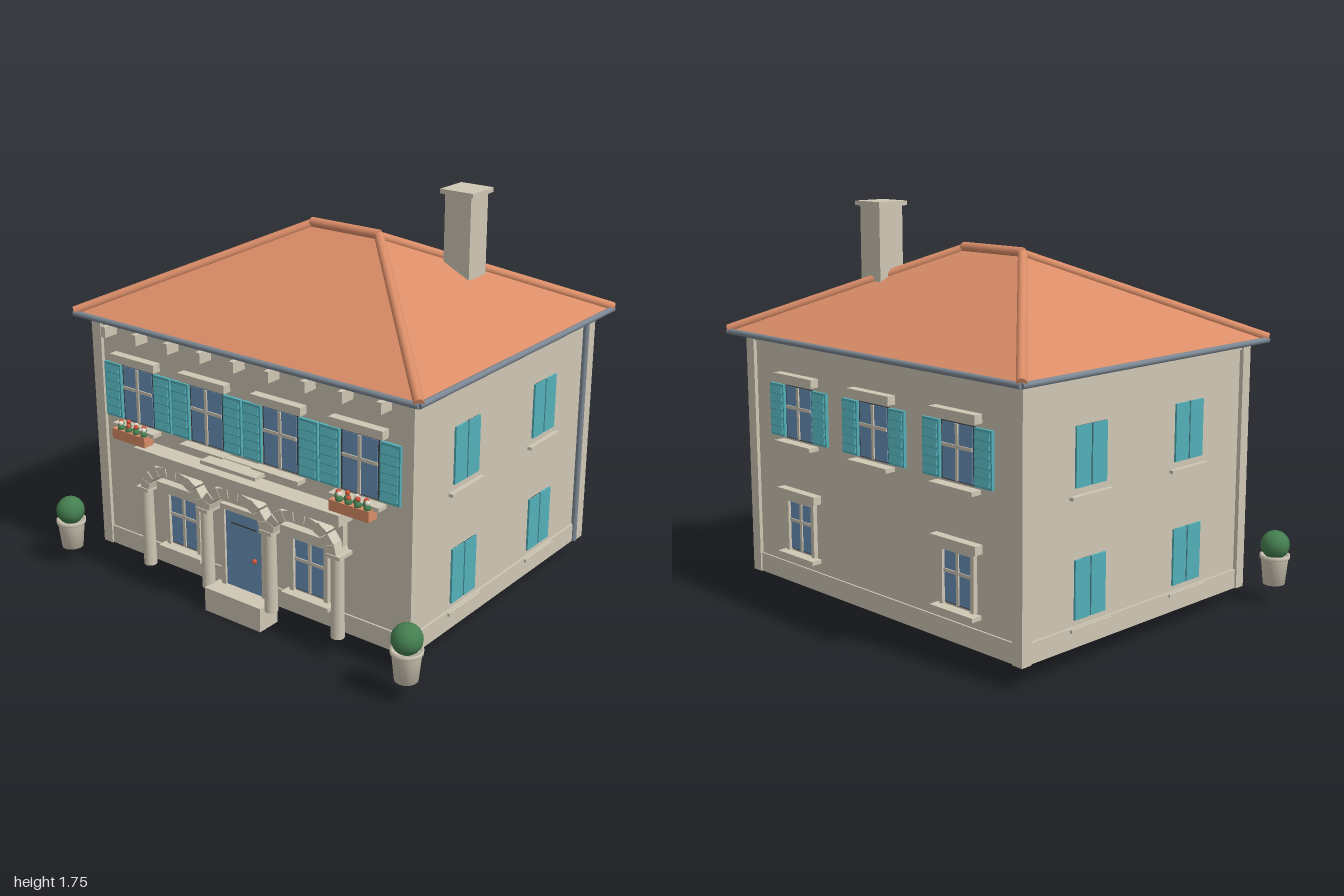
import * as THREE from 'three';

const mat = (name, color) => {
  const m = new THREE.MeshStandardMaterial({ color });
  m.name = name;
  return m;
};

export function createModel() {
  const stone = mat('stone', 0xcfc7b5), tile = mat('terracotta', 0xd98c67), glass = mat('blue', 0x6b93bb);
  const teal = mat('teal', 0x53b0b9), metal = mat('gutter grey', 0x7b8793), dark = mat('dark frame', 0x45484c);
  const leaf = mat('leaf green', 0x457f50), red = mat('red flower', 0xd0583f), white = mat('pale flower', 0xe6ded0);
  const house = new THREE.Group();
  house.name = 'house';

  const add = (name, geo, m, x = 0, y = 0, z = 0, parent = house) => {
    const mesh = new THREE.Mesh(geo, m);
    mesh.name = name;
    mesh.position.set(x, y, z);
    parent.add(mesh);
    return mesh;
  };
  // Box given by its limits
  const box = (name, m, x0, x1, y0, y1, z0, z1, parent) =>
    add(name, new THREE.BoxGeometry(x1 - x0, y1 - y0, z1 - z0), m, (x0 + x1) / 2, (y0 + y1) / 2, (z0 + z1) / 2, parent);
  // Round bar between two points
  const rod = (name, m, a, b, r) => {
    const p = new THREE.Vector3(...a), q = new THREE.Vector3(...b), d = q.clone().sub(p);
    const mesh = add(name, new THREE.CylinderGeometry(r, r, d.length(), 12), m);
    mesh.position.copy(p).add(q).multiplyScalar(0.5);
    mesh.quaternion.setFromUnitVectors(new THREE.Vector3(0, 1, 0), d.normalize());
  };

  // Walls, plinth, frieze and corner pilasters
  const F = 0.61, B = -0.74, W = 0.84;
  box('walls', stone, -W, W, 0.09, 1.19, B, F);
  box('plinth', stone, -0.85, 0.85, 0.09, 0.175, B - 0.008, F + 0.008);
  box('frieze', stone, -0.85, 0.85, 1.147, 1.18, B - 0.008, F + 0.008);
  for (const s of [-1, 1]) for (const z of [0.601, -0.731])
    add('cornerPilaster', new THREE.BoxGeometry(0.053, 1.09, 0.05), stone, s * 0.832, 0.635, z);

  // Hipped roof
  const ex = 0.91, zf = 0.675, zb = -0.815, ey = 1.19, rx = 0.18, ry = 1.55, rz = -0.07;
  const A = [-ex, ey, zf], Bc = [ex, ey, zf], C = [ex, ey, zb], D = [-ex, ey, zb], L = [-rx, ry, rz], R = [rx, ry, rz];
  const roof = new THREE.BufferGeometry();
  roof.setAttribute('position', new THREE.Float32BufferAttribute(
    [A, Bc, R, A, R, L, Bc, C, R, C, D, L, C, L, R, D, A, L, A, D, C, A, C, Bc].flat(), 3));
  roof.computeVertexNormals();
  add('roof', roof, tile);
  for (const s of [-1, 1]) for (const z of [zf, zb])
    rod('hipTile', tile, [s * ex, ey + 0.005, z], [s * rx, ry, rz], 0.021);
  rod('ridgeTile', tile, [-rx, ry + 0.005, rz], [rx, ry + 0.005, rz], 0.024);

  // Gutters and drainpipe
  for (const z of [zf, zb]) rod('gutter', metal, [-ex, 1.186, z], [ex, 1.186, z], 0.013);
  for (const s of [-1, 1]) rod('gutter', metal, [s * ex, 1.186, zb], [s * ex, 1.186, zf], 0.013);
  rod('drainpipe', metal, [0.85, 0.09, -0.692], [0.85, 1.18, -0.692], 0.013);

  // Chimney
  box('chimney', stone, 0.398, 0.527, 1.37, 1.735, -0.365, -0.235);
  box('chimneyCap', stone, 0.382, 0.543, 1.735, 1.755, -0.38, -0.22);

  // Louvred shutter
  const shutter = (x, y, h, parent) => {
    const g = new THREE.Group();
    g.name = 'shutter';
    g.position.set(x, y, 0);
    parent.add(g);
    box('shutterPanel', teal, -0.048, 0.048, -h / 2, h / 2, 0, 0.014, g);
    for (let i = 0; i < 6; i++)
      add('louvre', new THREE.BoxGeometry(0.08, 0.03, 0.008), teal, 0, (i - 2.5) * h / 6.4, 0.016, g).rotation.x = -0.25;
  };

  // Window with frame, glazing bars, lintel, sill and optional shutters
  const windowUnit = (x, y0, y1, back, shutters, w = 0.17) => {
    const g = new THREE.Group();
    g.name = 'window';
    g.position.set(x, 0, back ? B : F);
    if (back) g.rotation.y = Math.PI;
    house.add(g);
    const h = w / 2, bar = y0 + (y1 - y0) * 0.6;
    if (!shutters) {
      for (const s of [-1, 1])
        add('windowSurround', new THREE.BoxGeometry(0.02, y1 - y0 + 0.02, 0.02), stone, s * (h + 0.012), (y0 + y1) / 2, 0.01, g);
      box('windowSurround', stone, -h - 0.022, h + 0.022, y1, y1 + 0.02, 0, 0.02, g);
    }
    box('windowFrame', dark, -h - 0.008, h + 0.008, y0 - 0.005, y1 + 0.004, 0, 0.005, g);
    box('glass', glass, -h, h, y0, y1, 0, 0.008, g);
    box('glazingBar', stone, -0.007, 0.007, y0, y1, 0, 0.014, g);
    box('glazingBar', stone, -h, h, bar - 0.007, bar + 0.007, 0, 0.013, g);
    box('lintel', stone, -0.13, 0.13, y1 + 0.02, y1 + 0.057, 0, 0.04, g);
    box('sill', stone, -0.123, 0.123, y0 - 0.032, y0 - 0.014, 0, 0.05, g);
    if (shutters) for (const s of [-1, 1]) shutter(s * 0.147, (y0 + y1) / 2, y1 - y0 + 0.005, g);
  };
  for (const x of [-0.6, -0.2, 0.2, 0.6]) windowUnit(x, 0.73, 0.975, false, true);
  for (const x of [-0.35, 0.35]) windowUnit(x, 0.21, 0.44, false, false, 0.155);
  for (const x of [-0.5, 0, 0.5]) windowUnit(x, 0.75, 0.975, true, true);
  for (const x of [-0.5, 0.5]) windowUnit(x, 0.25, 0.465, true, false, 0.155);

  // Closed shutters on both side walls
  for (const s of [-1, 1]) for (const z of [0.235, -0.365]) for (const y of [0.2, 0.73]) {
    add('shutterGap', new THREE.BoxGeometry(0.008, 0.243, 0.16), dark, s * W, y + 0.122, z);
    for (const k of [-1, 1])
      add('sideShutter', new THREE.BoxGeometry(0.018, 0.243, 0.084), teal, s * W, y + 0.122, z + k * 0.046);
    add('sideSill', new THREE.BoxGeometry(0.04, 0.014, 0.235), stone, s * W, y - 0.036, z);
  }

  // Eaves brackets
  for (let i = -4; i <= 4; i++)
    box('eavesBracket', stone, i * 0.183 - 0.012, i * 0.183 + 0.012, 1.112, 1.16, F, 0.68);

  // Balcony ledges
  box('balconySlab', stone, -0.56, 0.56, 0.602, 0.652, F, 0.7);
  box('ledge', stone, -0.315, 0.315, 0.697, 0.712, F, 0.65);
  box('centreLedge', stone, -0.15, 0.15, 0.692, 0.708, F, 0.72);

  // Arcade: columns, capitals and wedge-shaped arch stones
  for (const x of [-0.527, -0.176, 0.176, 0.527]) {
    add('column', new THREE.CylinderGeometry(0.026, 0.029, 0.365, 16), stone, x, 0.272, 0.662);
    box('capital', stone, x - 0.034, x + 0.034, 0.452, 0.468, F, 0.695);
  }
  const pt = (a, b, t) => [a * Math.cos(t), b * Math.sin(t)];
  const N = 9;
  for (const x of [-0.352, 0, 0.352]) {
    for (let i = 0; i < N; i++) {
      const t0 = Math.PI * i / N + 0.012, t1 = Math.PI * (i + 1) / N - 0.012;
      const out = i % 2 ? 0.135 : 0.142;
      const s = new THREE.Shape([pt(0.14, 0.09, t0), pt(0.187, out, t0), pt(0.187, out, t1), pt(0.14, 0.09, t1)]
        .map(p => new THREE.Vector2(...p)));
      add('archStone', new THREE.ExtrudeGeometry(s, { depth: 0.08, bevelEnabled: false }), stone, x, 0.466, F);
    }
  }
  // Spandrel panel with arched openings
  const panel = new THREE.Shape();
  panel.moveTo(-0.535, 0.466);
  for (const x of [-0.352, 0, 0.352]) {
    panel.lineTo(x - 0.145, 0.466);
    panel.absellipse(x, 0.466, 0.145, 0.095, Math.PI, 0, true);
  }
  panel.lineTo(0.535, 0.466).lineTo(0.535, 0.578).lineTo(-0.535, 0.578);
  add('spandrel', new THREE.ExtrudeGeometry(panel, { depth: 0.03, bevelEnabled: false }), stone, 0, 0, F);

  // Door and step
  for (const s of [-1, 1]) add('doorJamb', new THREE.BoxGeometry(0.022, 0.38, 0.025), stone, s * 0.113, 0.3, F + 0.0125);
  box('doorHead', stone, -0.124, 0.124, 0.467, 0.49, F, F + 0.025);
  box('door', glass, -0.102, 0.102, 0.1, 0.467, F, F + 0.014);
  box('letterSlot', dark, -0.07, 0.07, 0.408, 0.414, F, F + 0.018);
  add('doorKnob', new THREE.SphereGeometry(0.011, 12, 8), red, 0.063, 0.27, F + 0.024);
  box('doorStep', stone, -0.155, 0.155, 0, 0.11, 0.598, 0.712);

  // Flower boxes
  for (const s of [-1, 1]) {
    box('flowerBox', tile, s * 0.6 - 0.097, s * 0.6 + 0.097, 0.658, 0.705, 0.635, 0.69);
    for (let i = 0; i < 8; i++) {
      const x = s * 0.6 + (i - 3.5) * 0.023, z = 0.662 + (i % 2 ? 0.012 : -0.012);
      add('foliage', new THREE.IcosahedronGeometry(0.016, 1), leaf, x, 0.711, z);
      add('flower', new THREE.IcosahedronGeometry(0.011, 1), i % 3 === 1 ? white : red, x, 0.728 + (i % 3) * 0.004, z);
    }
  }

  // Potted bushes
  const profile = [[0, 0], [0.048, 0], [0.06, 0.115], [0.066, 0.117], [0.067, 0.134], [0.055, 0.134], [0.053, 0.12], [0, 0.12]]
    .map(p => new THREE.Vector2(...p));
  for (const s of [-1, 1]) {
    add('pot', new THREE.LatheGeometry(profile, 20), stone, s * 0.932, 0.09, 0.755);
    add('bush', new THREE.SphereGeometry(0.064, 18, 12), leaf, s * 0.932, 0.267, 0.755);
  }
  return house;
}
